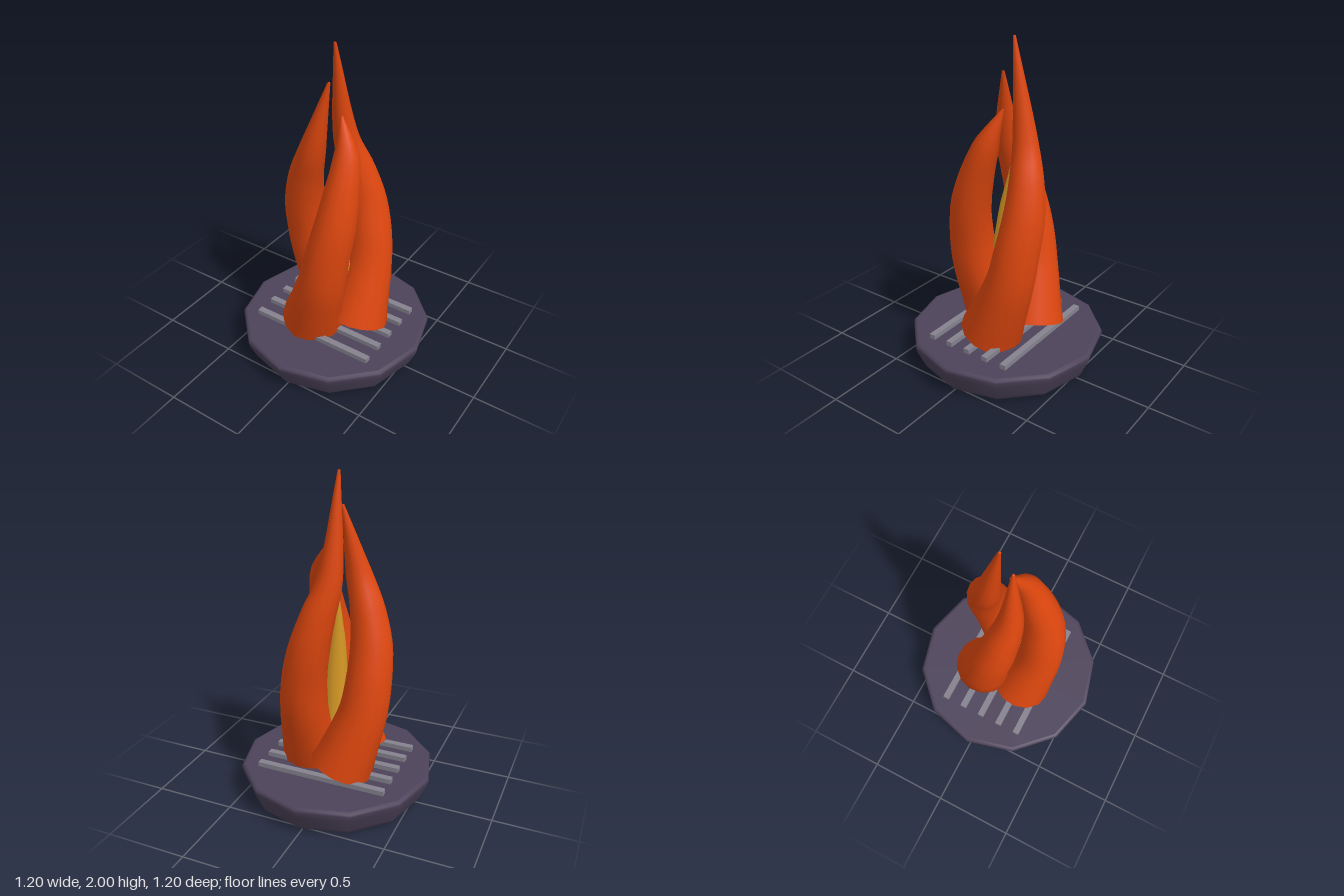
import * as THREE from 'three';

const material = (name, color) => {
  const m = new THREE.MeshStandardMaterial({ color });
  m.name = name;
  return m;
};

// Tapering tube along a curve; stops are [height, radius] pairs, low to high
function taperedTube(curve, stops, steps, sides) {
  const geo = new THREE.TubeGeometry(curve, steps, 1, sides);
  const pos = geo.attributes.position;
  const radiusAt = (y) => {
    for (let k = 1; k < stops.length; k++) {
      const [y0, r0] = stops[k - 1], [y1, r1] = stops[k];
      if (y <= y1 || k === stops.length - 1) {
        return THREE.MathUtils.lerp(r0, r1, THREE.MathUtils.clamp((y - y0) / (y1 - y0), 0, 1));
      }
    }
  };
  const v = new THREE.Vector3();
  for (let i = 0; i <= steps; i++) {
    const centre = curve.getPointAt(i / steps);
    const r = radiusAt(centre.y);
    for (let j = 0; j <= sides; j++) {
      const n = i * (sides + 1) + j;
      v.fromBufferAttribute(pos, n).sub(centre).multiplyScalar(r).add(centre);
      pos.setXYZ(n, v.x, v.y, v.z);
    }
  }
  return geo;
}

export function createModel() {
  const group = new THREE.Group();
  const stone = material('dark stone', 0x4d435a);
  const metal = material('grey metal', 0x85828f);
  const orange = material('flame orange', 0xe2480f);
  const yellow = material('flame yellow', 0xe0a028);

  const add = (name, geo, mat, parent = group) => {
    const mesh = new THREE.Mesh(geo, mat);
    mesh.name = name;
    parent.add(mesh);
    return mesh;
  };

  // Twelve-sided bowl with a rounded rim
  const profile = [
    [0, 0], [0.49, 0], [0.51, 0.002], [0.535, 0.015], [0.55, 0.04], [0.59, 0.13],
    [0.6, 0.165], [0.598, 0.18], [0.585, 0.19], [0.575, 0.19], [0, 0.19],
  ].map(([x, y]) => new THREE.Vector2(x, y));
  add('base', new THREE.LatheGeometry(profile, 12), stone);

  // Grate bars
  for (let i = -2; i <= 2; i++) {
    add('grateBar', new THREE.BoxGeometry(0.82, 0.04, 0.04), metal).position.set(0, 0.2, i * 0.133);
  }

  // Three outer flames: one twisting path turned in thirds, each with its own tip height
  const path = [
    [-0.075, 0.23, 0.14], [-0.02, 0.4, 0.175], [0.04, 0.6, 0.205], [0.08, 0.8, 0.205],
    [0.115, 1, 0.178], [0.125, 1.2, 0.125], [0.112, 1.4, 0.058],
  ];
  [[1.6, 0], [1.8, -1], [2, 1]].forEach(([top, turn]) => {
    const points = [...path, [0.04, top, -0.005]].map((p) => new THREE.Vector3(...p));
    const curve = new THREE.CatmullRomCurve3(points);
    const stops = [
      [0.23, 0.197], [0.4, 0.168], [0.6, 0.146], [0.8, 0.136],
      [1, 0.125], [1.2, 0.104], [1.4, 0.077], [top, 0.008],
    ];
    const flame = new THREE.Group();
    flame.name = 'outerFlame';
    add('flameBody', taperedTube(curve, stops, 28, 14), orange, flame);
    const cap = add('flameBottom', new THREE.CircleGeometry(0.197, 14), orange, flame);
    cap.position.copy(points[0]);
    cap.quaternion.setFromUnitVectors(new THREE.Vector3(0, 0, 1), curve.getTangentAt(0).negate());
    const tip = add('flameTip', new THREE.SphereGeometry(0.008, 8, 6), orange, flame);
    tip.position.copy(points[points.length - 1]).y -= 0.007;
    flame.rotation.y = turn * Math.PI * 2 / 3;
    group.add(flame);
  });

  // Slim inner flame
  const core = new THREE.CatmullRomCurve3([
    new THREE.Vector3(0.02, 0.19, 0.02), new THREE.Vector3(0.02, 0.6, 0),
    new THREE.Vector3(0, 1, -0.015), new THREE.Vector3(-0.02, 1.3, -0.03),
  ]);
  add('innerFlame', taperedTube(core, [
    [0.19, 0.08], [0.5, 0.09], [0.8, 0.078], [1, 0.058], [1.3, 0.004],
  ], 20, 10), yellow);

  return group;
}
